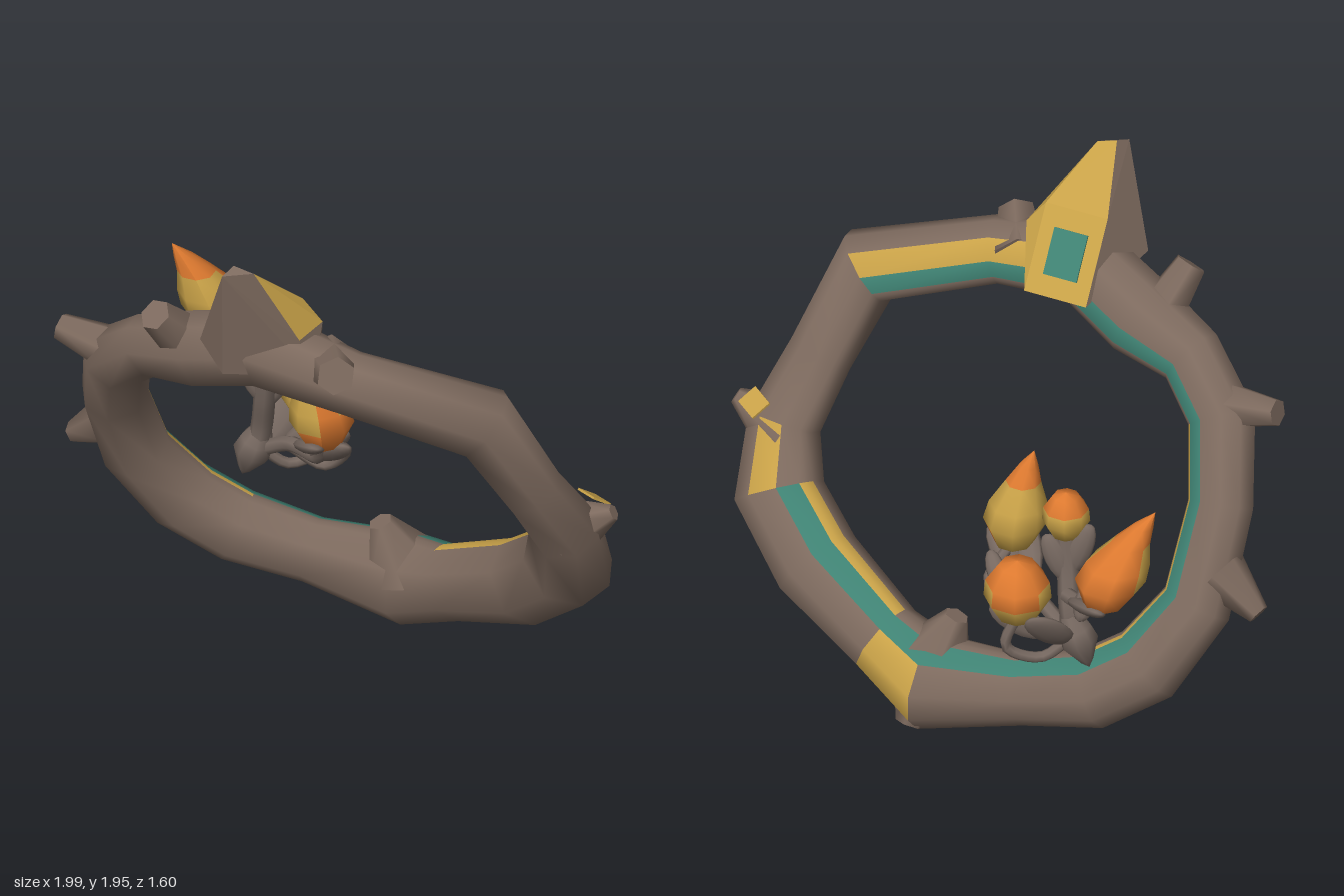
import * as THREE from 'three';
import { toCreasedNormals } from 'three/addons/utils/BufferGeometryUtils.js';
import { ConvexGeometry } from 'three/addons/geometries/ConvexGeometry.js';

const V = (x, y, z) => new THREE.Vector3(x, y, z);
const UP = V(0, 1, 0);
const BACK = V(0.45, 0.65, -1).normalize(); // back-facing normal of the tilted ring
const onPlane = (x, y) => V(x, y, 0.45 * x + 0.65 * y - 0.42);

const mat = (name, color) => {
  const m = new THREE.MeshStandardMaterial({ color });
  m.name = name;
  return m;
};

export function createModel() {
  const bark = mat('bark brown', 0x7d6a5e);
  const teal = mat('teal inlay', 0x3f8273);
  const gold = mat('gold', 0xc9a248);
  const orange = mat('orange', 0xde7a30);
  const leafBrown = mat('leaf brown', 0x766860);
  const model = new THREE.Group();
  model.name = 'branchRing';

  const add = (name, geo, material, parent = model) => {
    const mesh = new THREE.Mesh(geo, material);
    mesh.name = name;
    parent.add(mesh);
    return mesh;
  };

  // Sorts the triangles of a geometry into two material groups by a rule
  const splitFaces = (source, rule) => {
    const geo = source.index ? source.toNonIndexed() : source;
    geo.clearGroups();
    const p = geo.attributes.position;
    const tri = new THREE.Triangle(), n = V(0, 0, 0), mid = V(0, 0, 0);
    for (let i = 0; i < p.count; i += 3) {
      tri.setFromAttributeAndIndices(p, i, i + 1, i + 2);
      tri.getNormal(n);
      tri.getMidpoint(mid);
      geo.addGroup(i, 3, rule(n, mid) ? 1 : 0);
    }
    return geo;
  };

  // Ring: x, y, radius and z shift of each section, clockwise from the top
  const sections = [
    [-0.25, 1.56, 0.15, 0], [0.05, 1.5, 0.125, 0.03], [0.52, 1.37, 0.145, -0.05], [0.68, 1.05, 0.12, 0],
    [0.8, 0.82, 0.135, 0], [0.81, 0.6, 0.165, 0.02], [0.66, 0.42, 0.165, 0.03], [0.4, 0.27, 0.145, 0.02],
    [0.23, 0.2, 0.18, 0], [-0.1, 0.25, 0.13, 0.02], [-0.36, 0.31, 0.145, 0.04], [-0.55, 0.43, 0.145, 0.04],
    [-0.72, 0.66, 0.13, 0.02], [-0.79, 0.98, 0.12, 0], [-0.78, 1.23, 0.125, 0], [-0.66, 1.38, 0.12, 0],
    [-0.47, 1.45, 0.15, 0],
  ];
  const N = sections.length;
  const angles = [-25, 17, 31, 40, 71, 110, 145, 185, 230, 280];
  const M = angles.length;
  const centres = sections.map(([x, y, , dz]) => onPlane(x, y).add(V(0, 0, dz)));
  const positions = [];
  centres.forEach((c, i) => {
    const t = centres[(i + 1) % N].clone().sub(centres[(i + N - 1) % N]).normalize();
    const u = BACK.clone().cross(t).normalize(); // towards the middle of the ring
    for (const a of angles) {
      const f = THREE.MathUtils.degToRad(a);
      const depth = Math.sin(f) * (a > 0 && a < 180 ? 0.85 : 1); // flatter back
      const v = c.clone().addScaledVector(u, Math.cos(f) * sections[i][2]);
      v.addScaledVector(BACK, depth * sections[i][2]);
      positions.push(v.x, v.y, v.z);
    }
  });

  // Inlay band: teal strip, with gold strips (by angle index) along some segments
  const noTeal = [2, 3, 4];
  const goldStrips = {
    0: [4], 1: [4], 4: [4], 5: [1, 2], 6: [1, 2], 7: [4, 5],
    10: [2], 11: [2], 12: [2], 13: [1, 2],
  };
  const buckets = [[], [], []];
  for (let i = 0; i < N; i++) {
    for (let j = 0; j < M; j++) {
      let b = 0;
      if (j === 3 && !noTeal.includes(i)) b = 1;
      if (goldStrips[i]?.includes(j)) b = 2;
      const i2 = (i + 1) % N, j2 = (j + 1) % M;
      const a = i * M + j, c = i * M + j2, d = i2 * M + j, e = i2 * M + j2;
      buckets[b].push(a, c, d, c, e, d);
    }
  }
  const ringGeo = new THREE.BufferGeometry();
  ringGeo.setAttribute('position', new THREE.Float32BufferAttribute(positions, 3));
  ringGeo.setIndex(buckets.flat());
  let start = 0;
  buckets.forEach((b, k) => {
    ringGeo.addGroup(start, b.length, k);
    start += b.length;
  });
  add('ring', toCreasedNormals(ringGeo, 1.2), [bark, teal, gold]);

  // Crest: pointed block on top of the ring with a gold frame on its back
  const crestNormal = V(0.3, 0.55, -0.78).normalize();
  const p = UP.clone().cross(crestNormal).normalize();
  const q = crestNormal.clone().cross(p);
  const crestCentre = V(-0.2, 1.645, 0.385);
  const frame = [[1, 1], [-1, 1], [1, -1], [-1, -1]].map(([a, b]) =>
    crestCentre.clone().addScaledVector(p, a * 0.12).addScaledVector(q, b * 0.16));
  const crestGeo = new ConvexGeometry([
    ...frame,
    V(-0.4, 1.96, 0.66), V(-0.36, 1.98, 0.62), V(-0.29, 1.96, 0.64),
    V(-0.05, 1.69, 0.52), V(-0.13, 1.66, 0.6), V(-0.48, 1.6, 0.5), V(-0.4, 1.52, 0.6), V(-0.08, 1.5, 0.58),
  ]);
  const crestRule = (n, m) => n.dot(crestNormal) > 0.5 || (n.x > 0.4 && m.y > 1.7);
  add('crest', splitFaces(crestGeo, crestRule), [bark, gold]);

  // Teal plate set in the crest frame
  const plate = add('crestInlay', new THREE.BoxGeometry(0.13, 0.17, 0.008), teal);
  plate.position.copy(crestCentre).addScaledVector(crestNormal, 0.002);
  plate.quaternion.setFromRotationMatrix(new THREE.Matrix4().makeBasis(p, q, crestNormal));

  // Knots: blunt stubs sticking out of the ring [base, tip, base radius, tip radius]
  const knots = [
    [onPlane(-0.78, 1.27), V(-0.98, 1.31, -0.04), 0.09, 0.05],
    [onPlane(-0.8, 0.78), V(-0.94, 0.67, -0.36), 0.1, 0.04],
    [onPlane(-0.54, 1.48), V(-0.64, 1.63, 0.39), 0.09, 0.06],
    [V(-0.03, 1.53, 0.53), V(0.0, 1.59, 0.72), 0.1, 0.07],
    [onPlane(0.8, 0.8), V(0.97, 0.9, 0.5), 0.13, 0.03],
    [onPlane(0.22, 0.26), V(0.14, 0.45, -0.14), 0.15, 0.045],
    [onPlane(0.24, 0.22), V(0.3, 0.05, -0.24), 0.13, 0.05],
  ];
  for (const [base, tip, r0, r1] of knots) {
    const dir = tip.clone().sub(base);
    const knot = add('knot', new THREE.CylinderGeometry(r1, r0, dir.length(), 6), bark);
    knot.position.copy(base).add(tip).multiplyScalar(0.5);
    knot.quaternion.setFromUnitVectors(UP, dir.normalize());
  }

  // Gold patch on the side knot
  const patch = add('knotPatch', new THREE.BoxGeometry(0.08, 0.1, 0.008), gold);
  patch.position.set(0.9, 0.92, 0.43);
  patch.quaternion.setFromUnitVectors(V(0, 0, 1), V(0.4, 0.8, -0.4).normalize());

  // Flower cluster
  const cluster = new THREE.Group();
  cluster.name = 'flowerCluster';
  model.add(cluster);

  // Bud: faceted bulb, pointed ones have a bent tip; orange on its tip and on the side given
  const bud = (base, height, radius, lean, bend, orangeSide) => {
    const profile = bend
      ? [[0, 0], [0.6, 0.05], [1, 0.28], [0.9, 0.46], [0.55, 0.68], [0.3, 0.85], [0, 1]]
      : [[0, 0], [0.6, 0.08], [1, 0.4], [0.95, 0.65], [0.55, 0.93], [0, 1]];
    const geo = new THREE.LatheGeometry(profile.map(([r, y]) => new THREE.Vector2(r * radius, y * height)), 8);
    const pos = geo.attributes.position;
    for (let i = 0; i < pos.count; i++) {
      const k = pos.getY(i) / height;
      pos.setX(i, pos.getX(i) + lean[0] * k + bend * k * k);
      pos.setZ(i, pos.getZ(i) + lean[1] * k);
    }
    geo.computeVertexNormals();
    const painted = splitFaces(geo, (n, m) => m.y > height * 0.7 || n.dot(orangeSide) > 0.42);
    add('bud', painted, [gold, orange], cluster).position.copy(base);
  };
  bud(V(-0.42, 0.9, -0.69), 0.38, 0.125, [-0.05, 0.05], -0.13, V(0.3, 0.1, -0.9));
  bud(V(-0.06, 0.76, -0.14), 0.39, 0.115, [0, 0.03], -0.07, V(0.6, -0.5, 0.5));
  bud(V(-0.26, 0.94, -0.33), 0.19, 0.085, [0, 0], 0, V(-0.3, 0.7, 0.7));
  bud(V(-0.1, 0.67, -0.46), 0.25, 0.12, [0, 0], 0, V(0.1, 0.7, -0.6));

  // Stems
  const stem = (r, ...pts) =>
    add('stem', new THREE.TubeGeometry(new THREE.CatmullRomCurve3(pts), 14, r, 7), leafBrown, cluster);
  stem(0.04, V(-0.3, 0.56, -0.41), V(-0.28, 0.68, -0.4), V(-0.27, 0.82, -0.36), V(-0.26, 0.97, -0.33));
  stem(0.028, V(-0.28, 0.58, -0.41), V(-0.18, 0.65, -0.33), V(-0.08, 0.68, -0.2), V(-0.06, 0.78, -0.13));
  stem(0.02, V(-0.28, 0.57, -0.42), V(-0.18, 0.5, -0.44), V(-0.06, 0.56, -0.47), V(-0.1, 0.69, -0.46));
  stem(0.02, V(-0.18, 0.64, -0.33), V(-0.06, 0.58, -0.3), V(0.02, 0.68, -0.24), V(-0.04, 0.76, -0.16));
  stem(0.028, V(-0.28, 0.84, -0.54), V(-0.33, 0.85, -0.6), V(-0.38, 0.87, -0.66), V(-0.42, 0.93, -0.68));

  // Root: swollen foot with a point reaching down to the ring
  const root = add('root', new THREE.LatheGeometry(
    [[0, 0], [0.025, 0.03], [0.07, 0.11], [0.06, 0.16], [0.035, 0.22]].map(([x, y]) => new THREE.Vector2(x, y)), 8), leafBrown, cluster);
  root.position.set(-0.35, 0.46, -0.43);
  root.quaternion.setFromUnitVectors(UP, V(0.35, 1, 0.1).normalize());

  // Leaves: flattened pods between two points [from, to, width]
  const leaves = [
    [V(-0.1, 0.66, -0.23), V(0.03, 0.8, -0.07), 0.05],
    [V(-0.14, 0.7, -0.25), V(-0.08, 0.82, -0.02), 0.05],
    [V(-0.04, 0.66, -0.3), V(0.02, 0.78, -0.2), 0.035],
    [V(-0.27, 0.8, -0.36), V(-0.35, 1.02, -0.36), 0.045],
    [V(-0.27, 0.78, -0.37), V(-0.19, 0.97, -0.36), 0.045],
    [V(-0.28, 0.57, -0.44), V(-0.15, 0.74, -0.56), 0.065],
    [V(-0.2, 0.58, -0.42), V(0.0, 0.7, -0.42), 0.06],
    [V(-0.3, 0.83, -0.56), V(-0.42, 0.93, -0.78), 0.05],
    [V(-0.33, 0.79, -0.63), V(-0.38, 0.95, -0.58), 0.04],
  ];
  for (const [from, to, width] of leaves) {
    const dir = to.clone().sub(from);
    const leaf = add('leaf', new THREE.SphereGeometry(1, 10, 8), leafBrown, cluster);
    leaf.scale.set(width, dir.length() / 2, 0.026);
    leaf.position.copy(from).add(to).multiplyScalar(0.5);
    leaf.quaternion.setFromUnitVectors(UP, dir.normalize());
  }
  return model;
}
